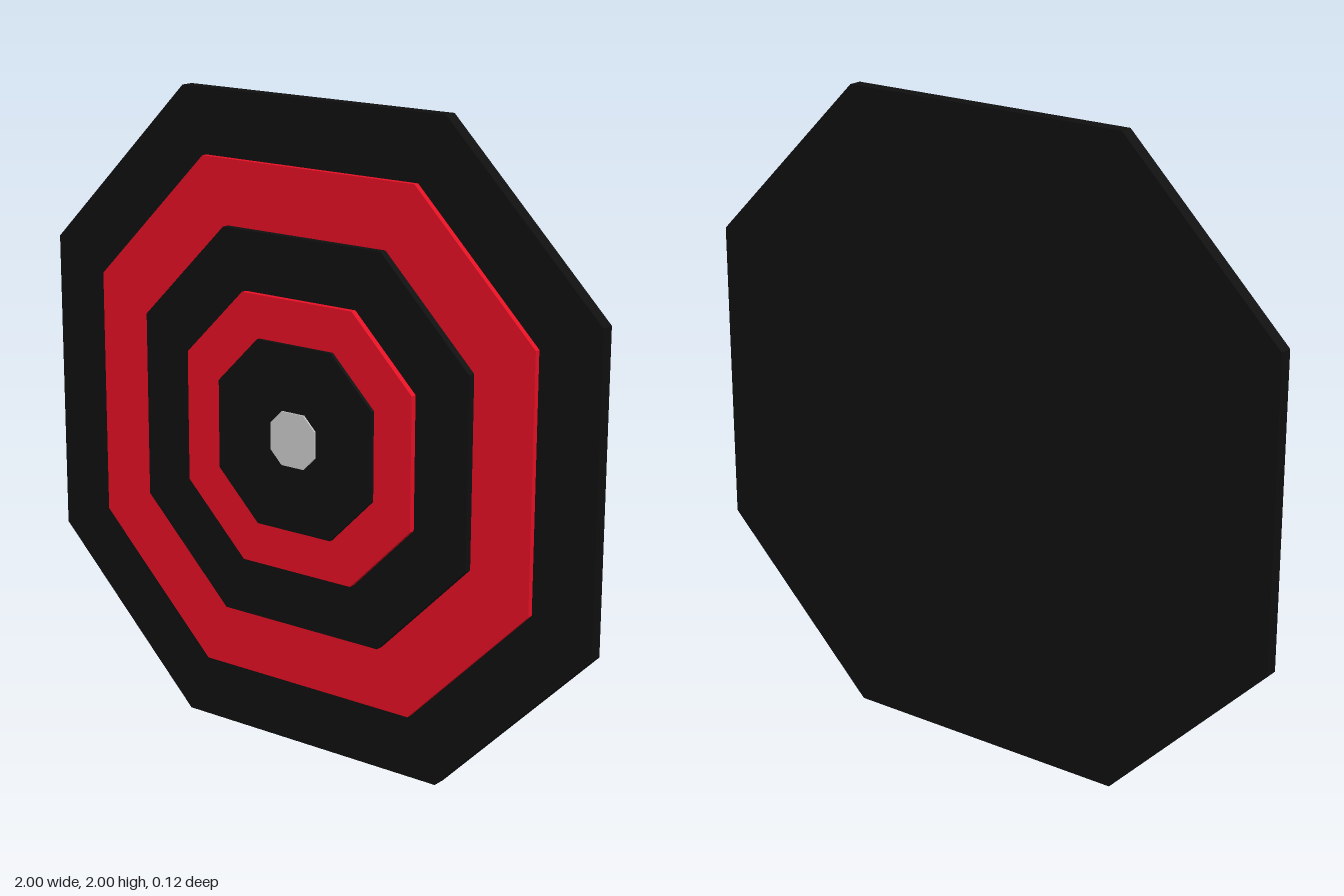
import * as THREE from 'three';

const BLACK = 0x0f0f0f, RED = 0xe61024, GREY = 0xcccccc;

// Octagonal plate: half width, half length of the straight side, back and front z
function plate(name, half, side, back, front, color) {
  const corners = [
    [half, -side], [half, side], [side, half], [-side, half],
    [-half, side], [-half, -side], [-side, -half], [side, -half],
  ].map(([x, y]) => new THREE.Vector2(x, y));
  const geometry = new THREE.ExtrudeGeometry(new THREE.Shape(corners), {
    depth: front - back, bevelEnabled: false,
  });
  const mesh = new THREE.Mesh(geometry, new THREE.MeshStandardMaterial({ color }));
  mesh.name = name;
  mesh.position.set(0, 1, back);
  return mesh;
}

export function createModel() {
  const target = new THREE.Group();
  target.name = 'octagonalTarget';

  // Plates stacked from the backing board to the bullseye
  target.add(
    plate('backingBoard', 1, 0.477, -0.06, -0.018, BLACK),
    plate('outerRedPlate', 0.8, 0.387, -0.018, 0, RED),
    plate('middleBlackPlate', 0.6, 0.29, 0, 0.024, BLACK),
    plate('innerRedPlate', 0.418, 0.203, 0.024, 0.043, RED),
    plate('innerBlackPlate', 0.286, 0.137, 0.043, 0.055, BLACK),
    plate('bullseye', 0.083, 0.041, 0.055, 0.06, GREY),
  );
  return target;
}
